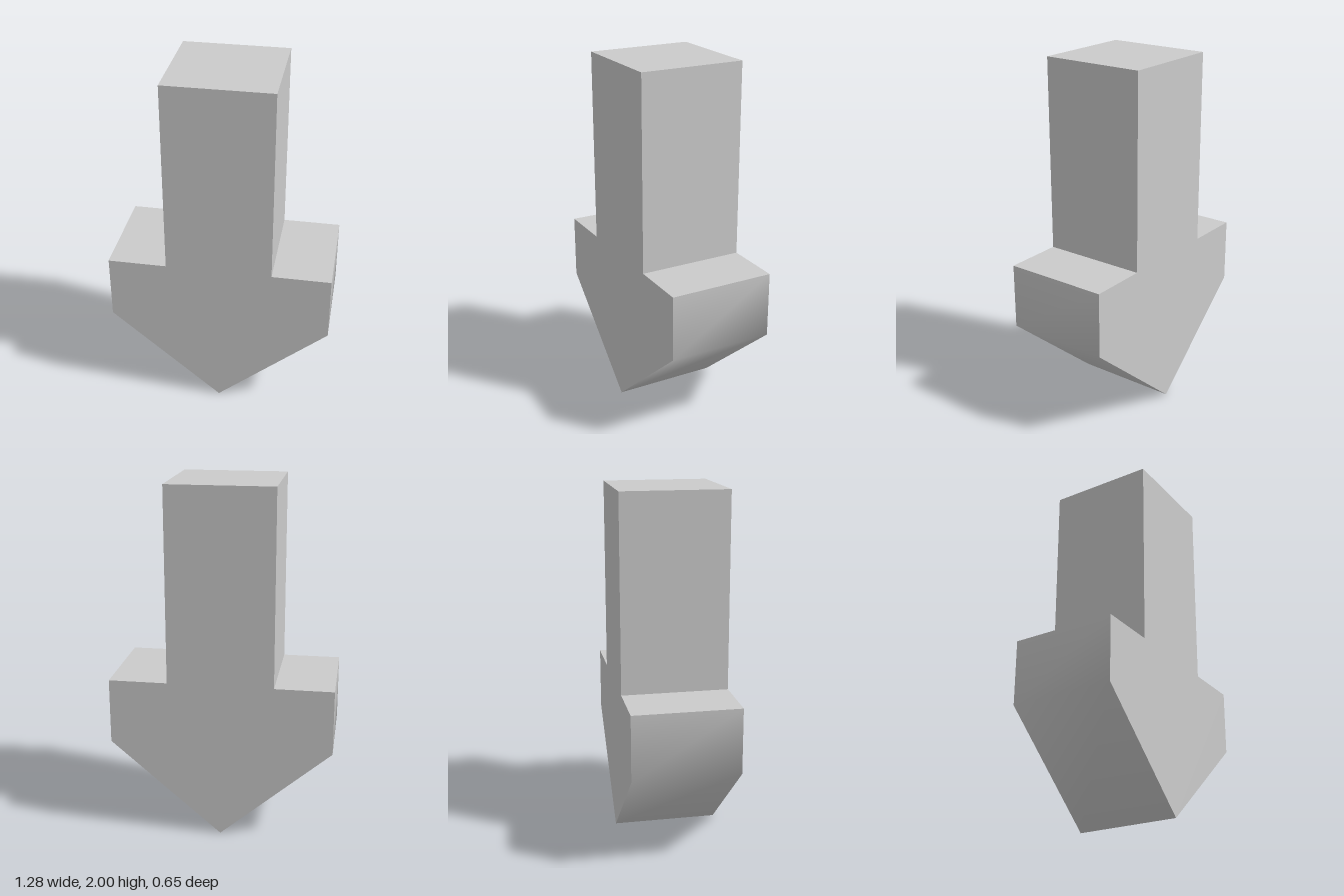
import * as THREE from 'three';
import { toCreasedNormals } from 'three/addons/utils/BufferGeometryUtils.js';

export function createModel() {
  const group = new THREE.Group();
  const depth = 0.596;

  // Right half of the arrow outline, from the tip up; mirrored for the left half
  const half = [[0.628, 0.537], [0.628, 0.905], [0.298, 0.905], [0.298, 2]];
  const outline = [
    [0, 0],
    ...half,
    ...half.map(([x, y]) => [-x, y]).reverse(),
  ].map(([x, y]) => new THREE.Vector2(x, y));

  // Thick downward arrow, soft where the sides turn into the point
  const geometry = new THREE.ExtrudeGeometry(new THREE.Shape(outline), { depth, bevelEnabled: false });
  geometry.translate(0, 0, -depth / 2);
  const arrow = new THREE.Mesh(
    toCreasedNormals(geometry, THREE.MathUtils.degToRad(60)),
    new THREE.MeshStandardMaterial({ color: 0xcccccc })
  );
  arrow.name = 'downArrow';
  arrow.rotation.y = THREE.MathUtils.degToRad(2.5); // slight turn about the vertical
  group.add(arrow);
  return group;
}
